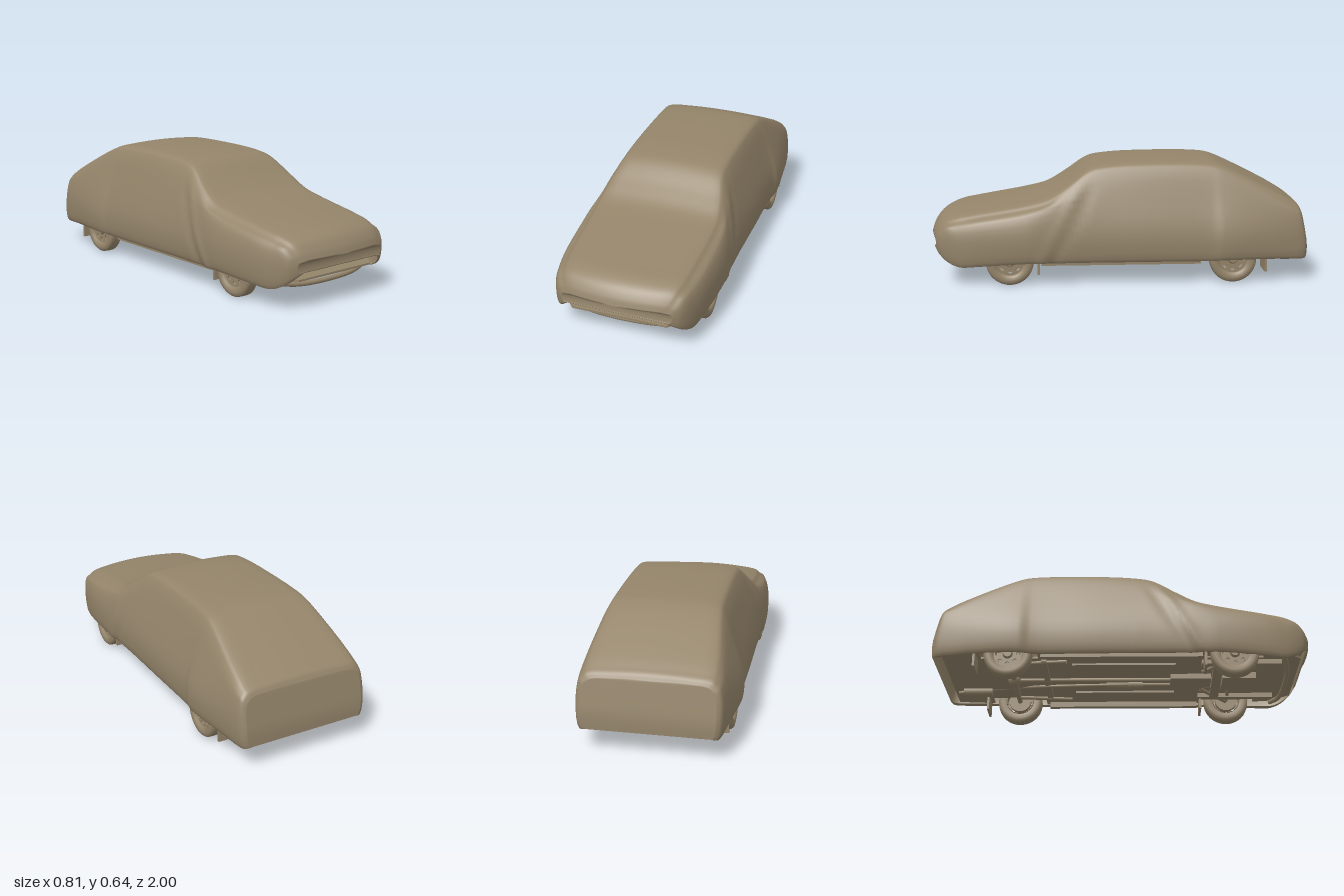
import * as THREE from 'three';

const clothTan = new THREE.MeshStandardMaterial({ color: 0x94846a, side: THREE.DoubleSide });
clothTan.name = 'clothTan';

function add(parent, name, geometry, x = 0, y = 0, z = 0) {
  const mesh = new THREE.Mesh(geometry, clothTan);
  mesh.name = name;
  mesh.position.set(x, y, z);
  parent.add(mesh);
  return mesh;
}
const box = (w, h, d) => new THREE.BoxGeometry(w, h, d);
const tube = (pts, r) => new THREE.TubeGeometry(
  new THREE.CatmullRomCurve3(pts.map(p => new THREE.Vector3(...p))), 24, r, 10);

// Stations: z, topY, topHalfW, shoulderHalfW, shoulderY, maxHalfW, hemY
const stations = [
  [1.0, .25, .25, .28, .235, .29, .19],
  [.985, .29, .28, .315, .265, .325, .16],
  [.95, .335, .30, .335, .30, .35, .125],
  [.89, .365, .315, .35, .31, .37, .10],
  [.78, .385, .325, .365, .33, .388, .105],
  [.5, .43, .335, .375, .37, .405, .12],
  [.38, .46, .335, .37, .40, .40, .12],
  [.28, .52, .32, .355, .43, .395, .12],
  [.15, .61, .285, .345, .45, .392, .12],
  [.05, .63, .28, .343, .45, .392, .12],
  [-.15, .64, .28, .342, .45, .392, .12],
  [-.48, .635, .283, .342, .45, .392, .12],
  [-.55, .62, .288, .35, .44, .404, .125],
  [-.8, .50, .318, .352, .40, .382, .125],
  [-.92, .435, .325, .348, .37, .365, .12],
  [-.95, .415, .32, .34, .36, .352, .12],
  [-.962, .39, .30, .318, .345, .328, .13],
];

// Fitted fabric cover: smooth loft through the stations
function coverGeometry() {
  const rings = stations.map(([z, ty, tw, sw, sy, mw, hy]) => {
    const d = Math.min(.035, (ty - sy) * .6);
    const my = Math.min(.25, .215 + .1 * (1 - z));
    const hw = mw - .015;
    const half = [
      [hw - .025, hy + .004], [hw, hy], [mw, my], [sw, sy],
      [tw + .004, ty - d], [tw - .02, ty - d * .45], [tw * .6, ty - d * .15],
    ];
    const pts = [...half, [0, ty], ...half.slice().reverse().map(([x, y]) => [-x, y])];
    return pts.map(([x, y]) => new THREE.Vector3(x, y, z));
  });
  const columns = rings[0].map((_, j) => new THREE.CatmullRomCurve3(rings.map(r => r[j])));
  const N = 96, W = 57, pos = [], idx = [];
  for (let i = 0; i <= N; i++) {
    const ring = new THREE.CatmullRomCurve3(columns.map(c => c.getPoint(i / N)));
    for (let j = 0; j < W; j++) {
      const p = ring.getPoint(j / (W - 1));
      // Slack folds running down behind the windscreen pillar
      const side = THREE.MathUtils.smoothstep(Math.abs(p.x), .3, .36);
      const foldZ = p.z - (.15 + (.6 - p.y) * .55);
      p.x += Math.sign(p.x) * side * .006 *
        (Math.exp(-((foldZ / .025) ** 2)) - Math.exp(-(((foldZ + .06) / .03) ** 2)));
      // Bowed nose and leaning tail
      const nose = THREE.MathUtils.smoothstep(p.z, .4, 1);
      const tail = THREE.MathUtils.clamp((-.88 - p.z) / .08, 0, 1);
      p.z -= nose * .05 * (p.x / .33) ** 2 + tail * .038 * Math.min((.4 - p.y) / .2, 1);
      pos.push(p.x, p.y, p.z);
    }
  }
  for (let i = 0; i < N; i++) for (let j = 0; j < W - 1; j++) {
    const a = i * W + j, b = a + W;
    idx.push(a, b, a + 1, b, b + 1, a + 1);
  }
  // End caps, strip by strip from hem to top
  const last = N * W;
  for (let j = 0; j < (W - 1) / 2; j++) {
    const k = W - 1 - j;
    idx.push(k, j, j + 1, k, j + 1, k - 1);
    idx.push(last + j, last + k, last + j + 1, last + k, last + k - 1, last + j + 1);
  }
  const g = new THREE.BufferGeometry();
  g.setAttribute('position', new THREE.Float32BufferAttribute(pos, 3));
  g.setIndex(idx);
  g.computeVertexNormals();
  return g;
}

// Wheel: rounded tyre, slotted disc and hub; axle along x, outside at +x
function makeWheel(name) {
  const wheel = new THREE.Group();
  wheel.name = name;
  const profile = [[.078, -.034], [.10, -.038], [.116, -.034], [.124, -.024], [.125, 0],
    [.124, .024], [.116, .034], [.10, .038], [.078, .034], [.074, .02], [.074, -.034]];
  add(wheel, 'tyre', new THREE.LatheGeometry(
    profile.map(p => new THREE.Vector2(...p)), 40)).rotation.z = -Math.PI / 2;
  const disc = new THREE.Shape().absarc(0, 0, .076, 0, Math.PI * 2);
  for (let i = 0; i < 8; i++) {
    const a = i * Math.PI / 4;
    disc.holes.push(new THREE.Path().absarc(Math.cos(a) * .055, Math.sin(a) * .055, .011, 0, Math.PI * 2));
  }
  add(wheel, 'rimDisc', new THREE.ExtrudeGeometry(disc,
    { depth: .008, bevelEnabled: false, curveSegments: 20 }), .012).rotation.y = Math.PI / 2;
  add(wheel, 'hubCap', new THREE.CylinderGeometry(.02, .028, .014, 20), .025).rotation.z = -Math.PI / 2;
  add(wheel, 'brakeDrum', new THREE.CylinderGeometry(.06, .06, .03, 24), -.015).rotation.z = Math.PI / 2;
  return wheel;
}

// Floor pan with cut-outs around the wheels
function floorGeometry() {
  const half = [[.25, .93], [.33, .84], [.345, .73], [.27, .73], [.27, .43], [.365, .43],
    [.365, -.45], [.27, -.45], [.27, -.75], [.35, -.75], [.33, -.95]];
  const outline = [...half, ...half.slice().reverse().map(([x, z]) => [-x, z])];
  const g = new THREE.ExtrudeGeometry(
    new THREE.Shape(outline.map(p => new THREE.Vector2(...p))), { depth: .01, bevelEnabled: false });
  return g.rotateX(Math.PI / 2);
}

export function createModel() {
  const car = new THREE.Group();
  car.name = 'coveredCar';
  add(car, 'fabricCover', coverGeometry());

  const under = new THREE.Group();
  under.name = 'underbody';
  car.add(under);
  add(under, 'floorPan', floorGeometry(), 0, .145, 0);
  add(under, 'frontValance', tube([[-.33, .125, .83], [-.2, .1, .86], [0, .092, .87], [.2, .1, .86], [.33, .125, .83]], .013));
  add(under, 'frontCrossmember', box(.5, .03, .05), 0, .125, .5);
  add(under, 'gearboxHousing', box(.12, .035, .22), 0, .125, .36);
  add(under, 'engineSump', box(.16, .04, .18), 0, .12, .62);
  add(under, 'rearAxle', new THREE.CylinderGeometry(.014, .014, .6, 12), 0, .125, -.6).rotation.z = Math.PI / 2;
  add(under, 'differential', new THREE.SphereGeometry(.036, 16, 12), 0, .128, -.6);
  add(under, 'frontAxle', new THREE.CylinderGeometry(.01, .01, .6, 10), 0, .125, .575).rotation.z = Math.PI / 2;
  add(under, 'propShaft', tube([[0, .125, .3], [0, .125, -.6]], .012));
  add(under, 'exhaustPipe', tube([[.1, .12, .5], [.06, .12, .3], [.06, .115, -.4], [.14, .14, -.6], [.16, .12, -.93]], .009));
  add(under, 'middleSilencer', new THREE.CylinderGeometry(.025, .025, .2, 16), .06, .12, 0).rotation.x = Math.PI / 2;
  add(under, 'rearSilencer', new THREE.CylinderGeometry(.028, .028, .16, 16), .16, .125, -.82).rotation.x = Math.PI / 2;
  add(under, 'rearCrossmember', box(.54, .02, .03), 0, .128, -.42);

  for (const s of [1, -1]) {
    const side = s > 0 ? 'left' : 'right';
    add(under, side + 'Sill', box(.03, .03, .84), s * .345, .117, -.01);
    add(under, side + 'FloorRib', box(.03, .012, .55), s * .19, .13, 0);
    add(under, side + 'FrontRail', box(.035, .03, .42), s * .23, .125, .62);
    add(under, side + 'TrailingArm', tube([[s * .26, .12, -.3], [s * .23, .12, -.6]], .01));
    add(under, side + 'ControlArm', tube([[s * .12, .12, .42], [s * .29, .115, .57]], .01));
    for (const [end, wz, fz] of [['Front', .575, .425], ['Rear', -.6, -.775]]) {
      const wheel = makeWheel(side + end + 'Wheel');
      wheel.position.set(s * .332, .125, wz);
      if (s < 0) wheel.rotation.y = Math.PI;
      car.add(wheel);
      add(car, side + end + 'MudFlap', box(.125, .09, .012), s * .2995, .1, fz);
    }
  }
  return car;
}
